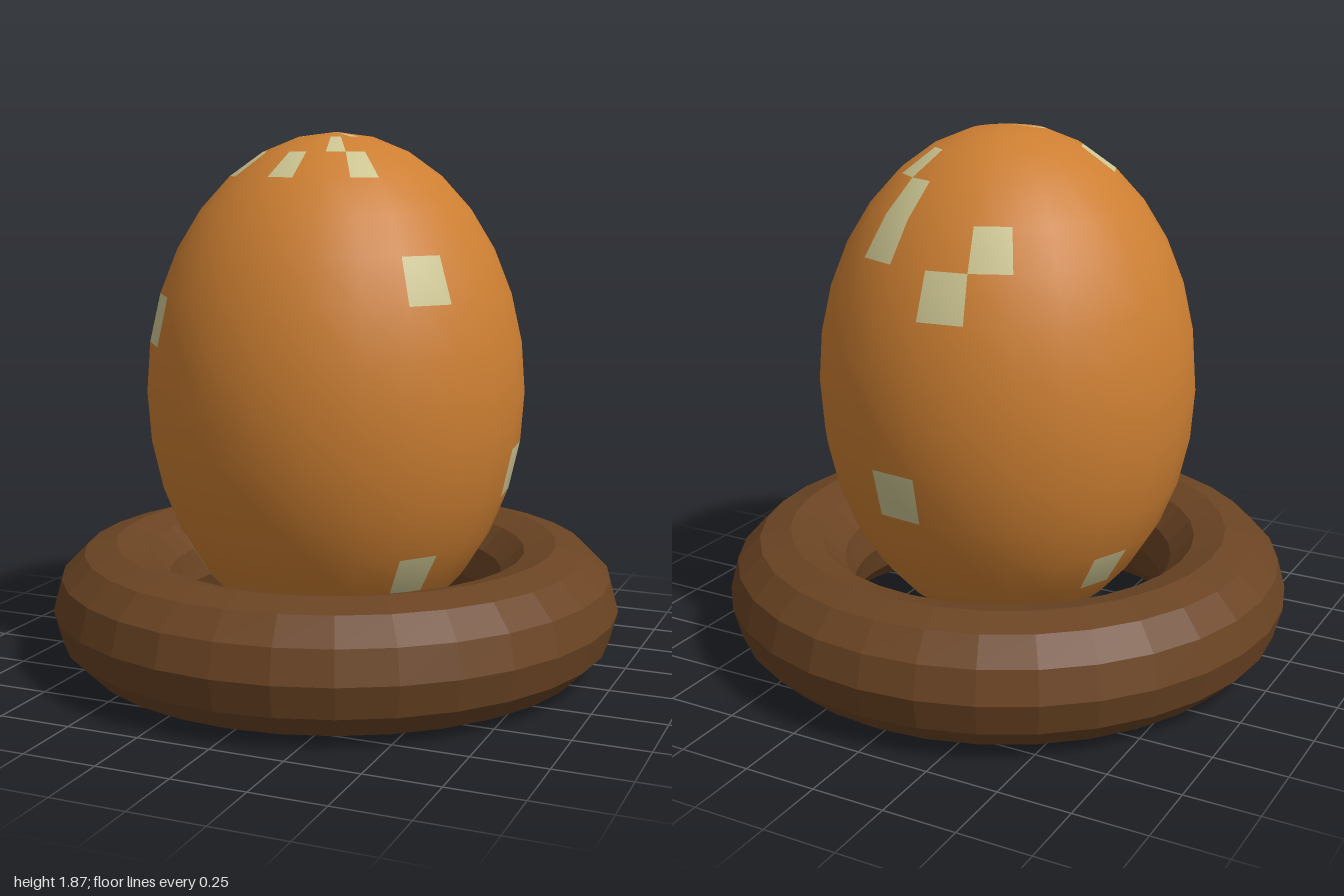
import * as THREE from 'three';

const COLS = 24, ROWS = 16;

// Pale patches on the shell: [row from the top, column]
const PATCHES = [
  [0, 2], [0, 9], [1, 7],
  [2, 1], [2, 2], [2, 5], [2, 8], [2, 15],
  [3, 16], [4, 16], [4, 19],
  [5, 9], [5, 18], [6, 2], [7, 13],
  [9, 12], [9, 17], [10, 14],
  [11, 2], [11, 9], [11, 22],
  [13, 14], [13, 16], [14, 10], [15, 9], [15, 20],
];

// Ellipsoid whose patch cells use the second material
function eggGeometry(radius, halfHeight) {
  const geo = new THREE.SphereGeometry(1, COLS, ROWS);
  const src = geo.index.array;
  const marked = new Set(PATCHES.map(([r, c]) => r * COLS + c));
  const shell = [], spots = [];
  let n = 0;
  for (let r = 0; r < ROWS; r++) {
    // pole rows hold one triangle per cell, the others two
    const count = r === 0 || r === ROWS - 1 ? 3 : 6;
    for (let c = 0; c < COLS; c++) {
      const target = marked.has(r * COLS + c) ? spots : shell;
      for (let k = 0; k < count; k++) target.push(src[n++]);
    }
  }
  geo.setIndex([...shell, ...spots]);
  geo.clearGroups();
  geo.addGroup(0, shell.length, 0);
  geo.addGroup(shell.length, spots.length, 1);
  geo.scale(radius, halfHeight, radius);
  return geo;
}

export function createModel() {
  const orange = new THREE.MeshStandardMaterial({ name: 'orangeShell', color: 0xcd7f32 });
  const cream = new THREE.MeshStandardMaterial({ name: 'creamPatch', color: 0xcdc592 });
  const brown = new THREE.MeshStandardMaterial({ name: 'brownRing', color: 0x6b4423, flatShading: true });

  const group = new THREE.Group();
  group.name = 'eggOnRing';

  // Egg standing inside the ring
  const egg = new THREE.Mesh(eggGeometry(0.66, 0.89), [orange, cream]);
  egg.name = 'egg';
  egg.position.y = 0.975;
  group.add(egg);

  // Faceted ring base
  const ring = new THREE.Mesh(new THREE.TorusGeometry(0.78, 0.22, 12, 32).rotateX(-Math.PI / 2), brown);
  ring.name = 'ringBase';
  ring.position.y = 0.22;
  group.add(ring);

  return group;
}
